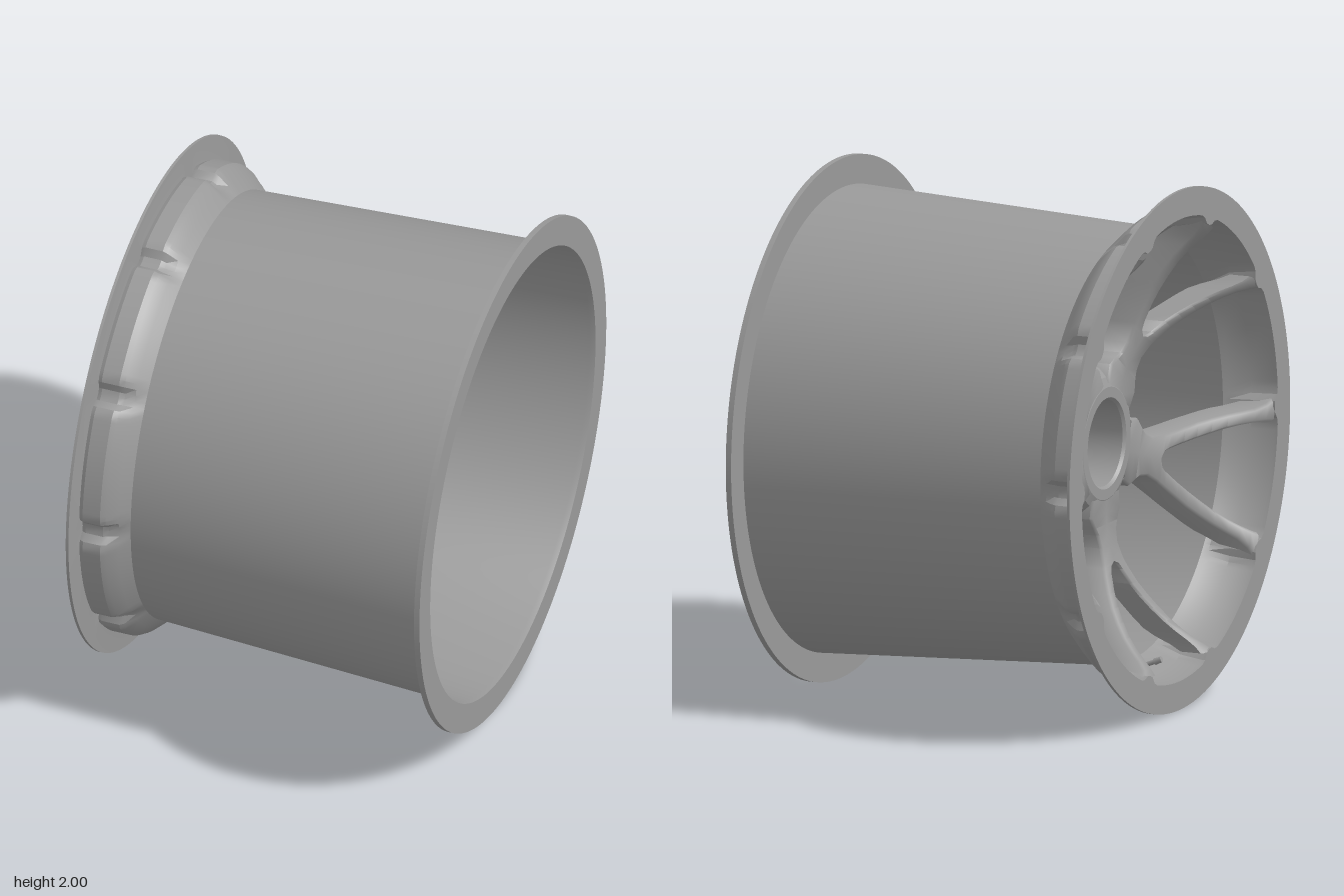
import * as THREE from 'three';
import { toCreasedNormals } from 'three/addons/utils/BufferGeometryUtils.js';

const material = new THREE.MeshStandardMaterial({ color: 0x999999 });

function addMesh(parent, name, geometry) {
  const mesh = new THREE.Mesh(geometry, material);
  mesh.name = name;
  parent.add(mesh);
  return mesh;
}

// Lathe from [radius, height, grooveDepth]; ten grooves are pressed in where the spokes land
function groovedLathe(profile, segments) {
  const geo = new THREE.LatheGeometry(profile.map(([r, y]) => new THREE.Vector2(r, y)), segments);
  const pos = geo.attributes.position;
  const pitch = Math.PI / 5;
  for (let i = 0; i < pos.count; i++) {
    const depth = profile[i % profile.length][2] || 0;
    if (!depth) continue;
    const x = pos.getX(i), z = pos.getZ(i);
    const turn = Math.atan2(z, x) / pitch;
    const off = Math.abs(turn - Math.floor(turn) - 0.5) * 36; // degrees from groove centre
    const k = 1 - THREE.MathUtils.smoothstep(off, 0.8, 4);
    const scale = 1 - (depth * k) / Math.hypot(x, z);
    pos.setXYZ(i, x * scale, pos.getY(i), z * scale);
  }
  return toCreasedNormals(geo, 0.4);
}

// Spoke stations: [distance from axis, inner edge, outer edge, face, back]
const SPOKE = [
  [0.20, 0, 0.12, -0.410, -0.245],
  [0.27, 0, 0.13, -0.408, -0.245],
  [0.31, 0, 0.104, -0.410, -0.25],
  [0.34, 0, 0.085, -0.414, -0.26],
  [0.39, 0, 0.075, -0.424, -0.28],
  [0.45, 0, 0.090, -0.440, -0.31],
  [0.463, 0.022, 0.096, -0.444, -0.317],
  [0.49, 0.042, 0.108, -0.454, -0.33],
  [0.55, 0.073, 0.136, -0.480, -0.36],
  [0.60, 0.100, 0.163, -0.508, -0.39],
  [0.65, 0.128, 0.188, -0.542, -0.42],
  [0.70, 0.157, 0.213, -0.582, -0.45],
  [0.74, 0.179, 0.233, -0.622, -0.48],
  [0.77, 0.195, 0.250, -0.658, -0.52],
  [0.80, 0.207, 0.277, -0.692, -0.58],
  [0.825, 0.212, 0.308, -0.712, -0.62],
];

// One half of a forked spoke, lofted through sections with softened face edges
function spokeHalf(side) {
  const c = 0.01, n = 6;
  const verts = [], index = [];
  for (const [u, i, o, f, b] of SPOKE) {
    const ci = i > 0 ? c : 0;
    const ring = [[f, i + ci], [f, o - c], [f + c, o], [b, o], [b, i], [f + ci, i]];
    for (const [y, v] of ring) verts.push(u, y, v * side);
  }
  for (let j = 0; j < SPOKE.length - 1; j++) {
    for (let k = 0; k < n; k++) {
      const a = j * n + k, b = j * n + ((k + 1) % n), d = a + n, e = b + n;
      if (side > 0) index.push(a, d, e, a, e, b);
      else index.push(a, e, d, a, b, e);
    }
  }
  const geo = new THREE.BufferGeometry();
  geo.setAttribute('position', new THREE.Float32BufferAttribute(verts, 3));
  geo.setIndex(index);
  return toCreasedNormals(geo, 0.9);
}

export function createModel() {
  const model = new THREE.Group();
  model.name = 'wheelRim';

  // Built around its own y axis, then laid so the axis runs along x
  const wheel = new THREE.Group();
  wheel.name = 'wheel';
  wheel.rotation.z = -Math.PI / 2;
  wheel.position.y = 1;
  model.add(wheel);

  // Barrel with both flanges and the scalloped outer band
  addMesh(wheel, 'barrel', groovedLathe([
    [0.89, -0.713, 0.03], [1, -0.713], [1, -0.702], [0.93, -0.698],
    [0.905, -0.695, 0.04], [0.912, -0.68, 0.04], [0.912, -0.61, 0.04],
    [0.902, -0.59, 0.04], [0.868, -0.552, 0.015], [0.831, -0.515],
    [0.888, 0.69], [1, 0.69], [1, 0.712], [0.885, 0.712],
    [0.88, 0.69], [0.823, -0.515], [0.835, -0.535],
    [0.875, -0.61, 0.03], [0.89, -0.70, 0.03], [0.89, -0.713, 0.03],
  ], 240));

  // Hub with an open centre bore, its face falling away between the spokes
  addMesh(wheel, 'hub', groovedLathe([
    [0.165, -0.40], [0.175, -0.411], [0.215, -0.411], [0.25, -0.395],
    [0.28, -0.36], [0.30, -0.31], [0.31, -0.265], [0.307, -0.24],
    [0.165, -0.24], [0.165, -0.40],
  ], 60));

  // Five forked spokes
  const halves = [spokeHalf(1), spokeHalf(-1)];
  for (let i = 0; i < 5; i++) {
    const spoke = new THREE.Group();
    spoke.name = 'forkedSpoke';
    spoke.rotation.y = (i * Math.PI * 2) / 5;
    halves.forEach((geo) => addMesh(spoke, 'spokeArm', geo));
    wheel.add(spoke);
  }

  // Valve stem at the bottom of the rim
  const valve = new THREE.Group();
  valve.name = 'valve';
  valve.position.set(0.85, -0.545, 0);
  valve.rotation.z = 2.75;
  addMesh(valve, 'valveBase', new THREE.CylinderGeometry(0.018, 0.018, 0.04, 16));
  addMesh(valve, 'valveStem', new THREE.CylinderGeometry(0.009, 0.009, 0.09, 12)).position.y = 0.04;
  addMesh(valve, 'valveCap', new THREE.CylinderGeometry(0.011, 0.013, 0.03, 12)).position.y = 0.085;
  wheel.add(valve);

  return model;
}
